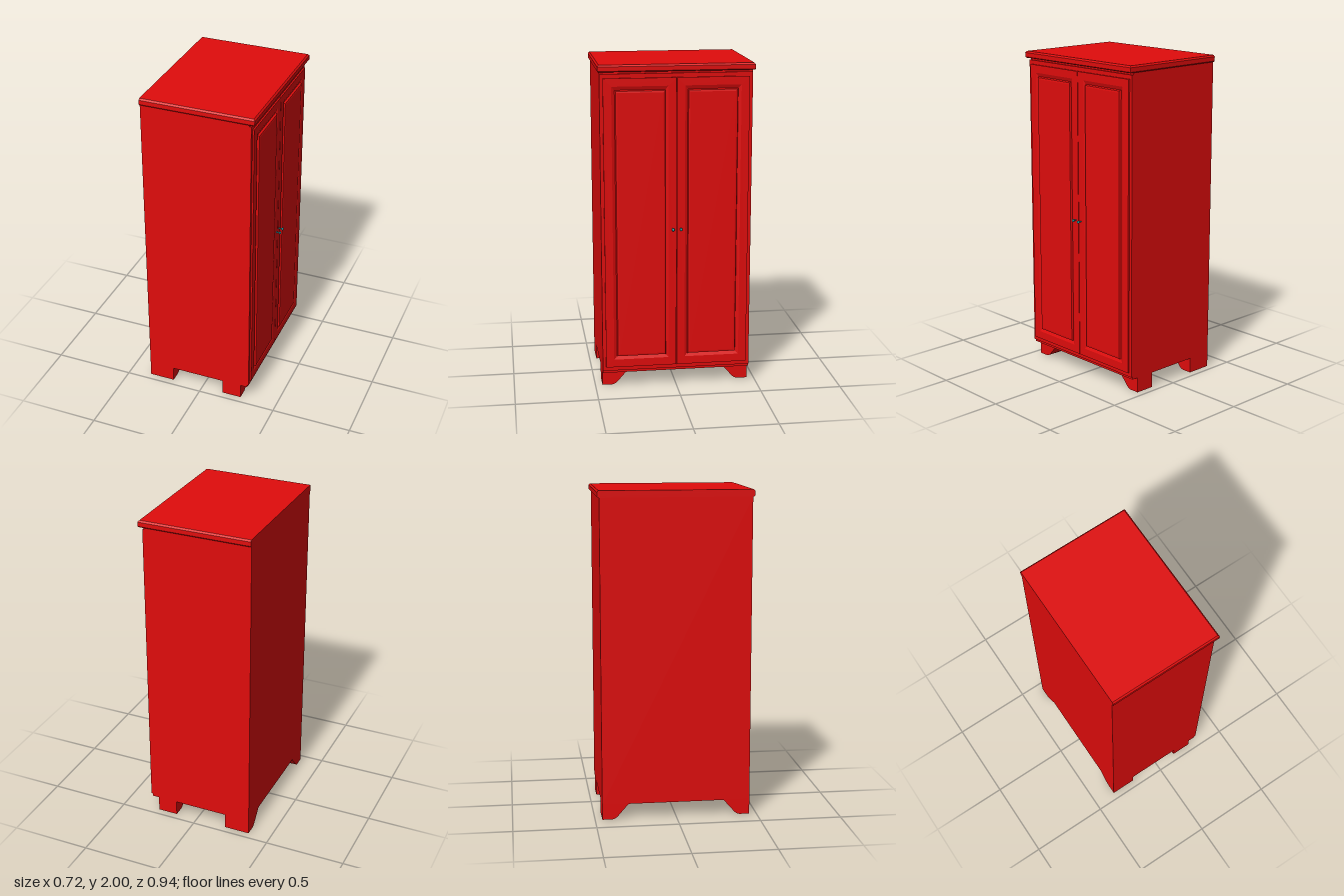
import * as THREE from 'three';

const red = new THREE.MeshStandardMaterial({ color: 0xe00c0c });
const teal = new THREE.MeshStandardMaterial({ color: 0x1a9aa0 });

function add(parent, name, geometry, material = red) {
  const mesh = new THREE.Mesh(geometry, material);
  mesh.name = name;
  parent.add(mesh);
  return mesh;
}

// Box given by its limits on each axis
function box(x0, x1, y0, y1, z0, z1) {
  return new THREE.BoxGeometry(x1 - x0, y1 - y0, z1 - z0)
    .translate((x0 + x1) / 2, (y0 + y1) / 2, (z0 + z1) / 2);
}

// Flat-shaded solid through four-cornered rings, capped at both ends
function loft(rings) {
  const out = [];
  const quad = (a, b, c, d) => out.push(...a, ...b, ...c, ...a, ...c, ...d);
  for (let r = 0; r < rings.length - 1; r++) {
    const a = rings[r], b = rings[r + 1];
    for (let i = 0; i < 4; i++) {
      const j = (i + 1) % 4;
      quad(a[i], a[j], b[j], b[i]);
    }
  }
  quad(...rings[rings.length - 1]);
  quad(...[...rings[0]].reverse());
  const g = new THREE.BufferGeometry();
  g.setAttribute('position', new THREE.Float32BufferAttribute(out, 3));
  g.computeVertexNormals();
  return g;
}

// Ring facing +x (doors) and ring facing +y (top board)
const doorRing = (x, y0, y1, z0, z1) => [[x, y0, z1], [x, y0, z0], [x, y1, z0], [x, y1, z1]];
const topRing = (y, x1, z) => [[-0.36, y, z], [x1, y, z], [x1, y, -z], [-0.36, y, -z]];

// Foot: bracket profile in z and y, extruded along x
function footGeometry(x0, x1, side) {
  const s = new THREE.Shape();
  s.moveTo(0.456, 0);
  s.lineTo(0.456, 0.1);
  s.lineTo(0.29, 0.1);
  s.lineTo(0.358, 0.022);
  s.quadraticCurveTo(0.375, 0.002, 0.395, 0);
  s.closePath();
  const pts = s.getPoints(5).map(p => new THREE.Vector2(-side * p.x, p.y));
  const g = new THREE.ExtrudeGeometry(new THREE.Shape(pts), { depth: x1 - x0, bevelEnabled: false });
  return g.rotateY(Math.PI / 2).translate(x0, 0, 0);
}

export function createModel() {
  const model = new THREE.Group();
  model.name = 'wardrobe';

  // Carcass and the front surround behind the doors
  add(model, 'carcass', box(-0.36, 0.308, 0.095, 1.96, -0.456, 0.456));
  add(model, 'frontSurround', box(0.308, 0.318, 0.112, 1.945, -0.456, 0.456));

  // Top board, chamfered on the front and sides
  add(model, 'topBoard', loft([
    topRing(1.958, 0.337, 0.463),
    topRing(1.964, 0.342, 0.468),
    topRing(1.99, 0.342, 0.468),
    topRing(2.0, 0.333, 0.459),
  ]));

  for (const side of [1, -1]) {
    const label = side > 0 ? 'left' : 'right';

    // Feet
    add(model, label + 'BackFoot', footGeometry(-0.36, -0.2, side));
    add(model, label + 'FrontFoot', footGeometry(0.14, 0.265, side));

    // Door: frame, sunken groove and raised panel in one stepped solid
    const ring = (x, inner, outer, y0, y1) =>
      doorRing(x, y0, y1, Math.min(side * inner, side * outer), Math.max(side * inner, side * outer));
    const door = new THREE.Group();
    door.name = label + 'Door';
    model.add(door);
    add(door, 'doorLeaf', loft([
      ring(0.312, 0.002, 0.436, 0.137, 1.92),
      ring(0.328, 0.002, 0.436, 0.137, 1.92),
      ring(0.328, 0.05, 0.387, 0.186, 1.872),
      ring(0.32, 0.066, 0.368, 0.205, 1.85),
      ring(0.332, 0.07, 0.363, 0.209, 1.845),
      ring(0.334, 0.079, 0.352, 0.22, 1.835),
    ]));

    // Knob: short neck with a flattened ball
    const knob = new THREE.Group();
    knob.name = label + 'Knob';
    knob.position.set(0.326, 1.005, side * 0.024);
    door.add(knob);
    add(knob, 'knobNeck', new THREE.CylinderGeometry(0.004, 0.004, 0.022, 16)
      .rotateZ(-Math.PI / 2).translate(0.011, 0, 0), teal);
    add(knob, 'knobHead', new THREE.SphereGeometry(0.009, 20, 14)
      .scale(0.75, 1, 1).translate(0.0265, 0, 0), teal);
  }
  return model;
}
